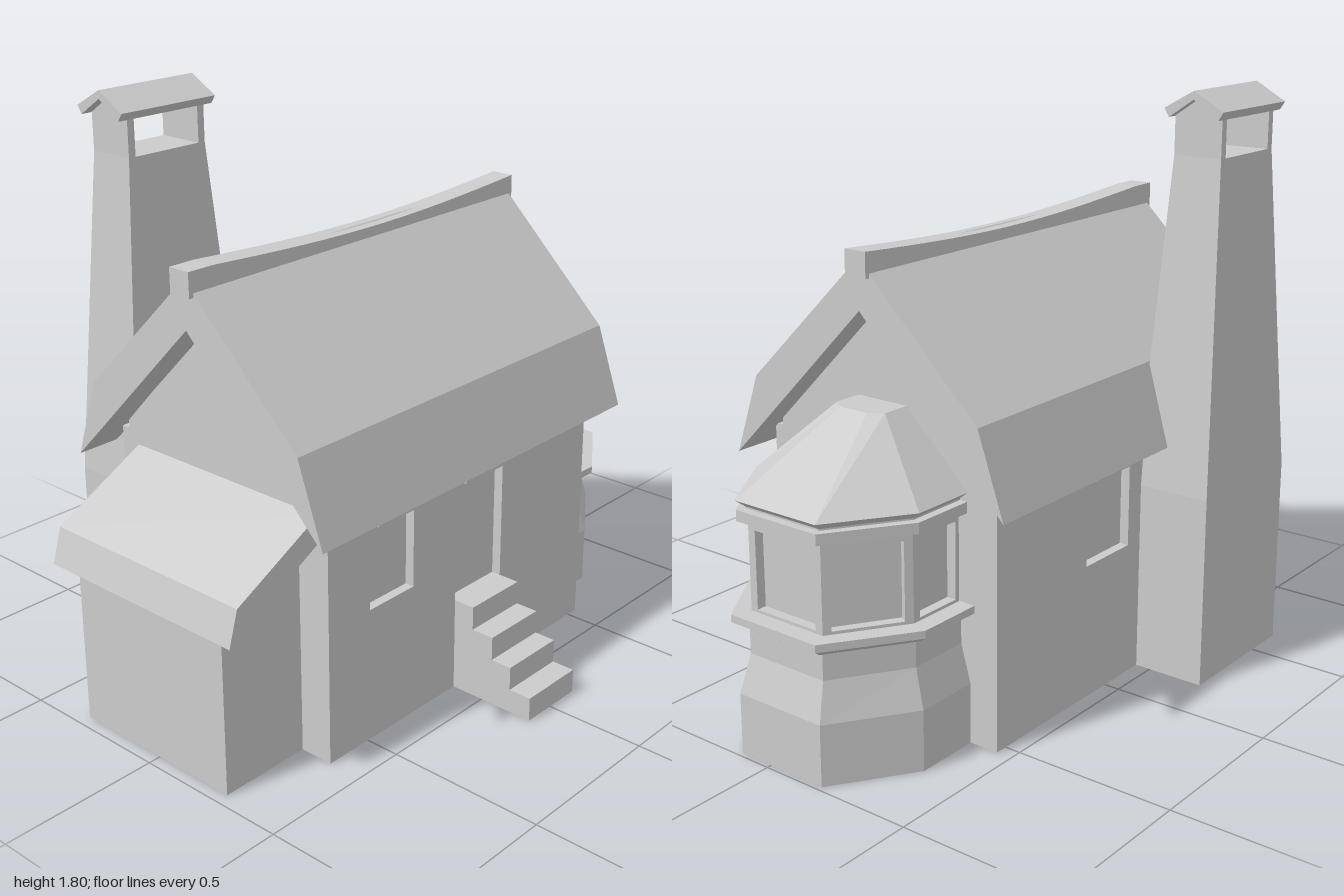
import * as THREE from 'three';

const mat = new THREE.MeshStandardMaterial({ color: 0xcccccc, flatShading: true });

const poly = (pts) => new THREE.Shape(pts.map(([a, b]) => new THREE.Vector2(a, b)));
const rect = (x0, y0, x1, y1) => [[x0, y0], [x1, y0], [x1, y1], [x0, y1]];
const extrude = (shape, depth) => new THREE.ExtrudeGeometry(shape, { depth, bevelEnabled: false });

// profile in (x, y), swept from z0 to z1
const alongZ = (pts, z0, z1) => extrude(poly(pts), z1 - z0).translate(0, 0, z0);
// shape in (z, y), swept from x0 to x1
const alongX = (shape, x0, x1) => extrude(shape, x1 - x0).rotateY(-Math.PI / 2).translate(x1, 0, 0);

const box = (x0, x1, y0, y1, z0, z1) =>
  new THREE.BoxGeometry(x1 - x0, y1 - y0, z1 - z0).translate((x0 + x1) / 2, (y0 + y1) / 2, (z0 + z1) / 2);

// closed skin over rings of [x, y, z], each ring counter-clockwise from above
function loft(rings) {
  const pos = [];
  const tri = (a, b, c) => pos.push(...a, ...b, ...c);
  const n = rings[0].length;
  for (let r = 0; r < rings.length - 1; r++) {
    for (let i = 0; i < n; i++) {
      const j = (i + 1) % n, a = rings[r], b = rings[r + 1];
      tri(a[i], a[j], b[j]);
      tri(a[i], b[j], b[i]);
    }
  }
  const low = rings[0], top = rings[rings.length - 1];
  for (let i = 1; i < n - 1; i++) {
    tri(low[0], low[i + 1], low[i]);
    tri(top[0], top[i], top[i + 1]);
  }
  const g = new THREE.BufferGeometry();
  g.setAttribute('position', new THREE.Float32BufferAttribute(pos, 3));
  g.computeVertexNormals();
  return g;
}

// shift vertices by a rule
function warp(g, fn) {
  const p = g.attributes.position, v = new THREE.Vector3();
  for (let i = 0; i < p.count; i++) {
    fn(v.fromBufferAttribute(p, i));
    p.setXYZ(i, v.x, v.y, v.z);
  }
  g.computeVertexNormals();
  return g;
}

// bay outline at height y
const bayRing = (y, hw, backHw, zBack, zCorner) =>
  [[hw, -0.53], [hw, zCorner], [backHw, zBack], [-backHw, zBack], [-hw, zCorner], [-hw, -0.53]]
    .map(([x, z]) => [x - 0.04, y, z]);
// the same outline pulled in by d from its widest size
const bayInset = (y, d) => bayRing(y, 0.33 - d, 0.16 - 0.45 * d, -1 + d, -0.75 + 0.3 * d);

export function createModel() {
  const model = new THREE.Group();
  const add = (name, geometry, parent = model) => {
    const m = new THREE.Mesh(geometry, mat);
    m.name = name;
    parent.add(m);
    return m;
  };

  // house core with gables
  add('houseCore', alongZ([[-0.42, 0], [0.36, 0], [0.36, 0.84], [-0.03, 1.25], [-0.42, 0.84]], -0.54, 0.66));

  // side walls with recessed openings [z0, y0, z1, y1] and lintels
  const sideWall = (name, x0, x1, lintelX0, lintelX1, openings) => {
    const wall = poly(rect(-0.54, 0, 0.66, 0.815));
    for (const [z0, y0, z1, y1] of openings) {
      wall.holes.push(poly(rect(z0, y0, z1, y1)));
      add('lintel', box(lintelX0, lintelX1, 0.697, 0.727, z0, z1));
    }
    add(name, alongX(wall, x0, x1));
  };
  sideWall('leftWall', 0.36, 0.39, 0.36, 0.425, [[-0.115, 0.3, 0.105, 0.727], [0.3, 0.425, 0.49, 0.727]]);
  sideWall('rightWall', -0.45, -0.42, -0.48, -0.42, [[-0.11, 0.425, 0.11, 0.727]]);

  // main roof, very slightly skewed
  const skew = (v) => { v.x += 0.01 * v.z; };
  add('mainRoof', warp(alongZ([
    [0.465, 0.735], [0.378, 0.985], [-0.035, 1.388], [-0.448, 0.985], [-0.535, 0.735], [-0.035, 1.24],
  ], -0.63, 0.765), skew));

  // sagging ridge beam
  const ridge = new THREE.BoxGeometry(0.075, 0.075, 1.425, 1, 1, 16).translate(-0.037, 1.378, 0.068);
  add('ridgeBeam', warp(ridge, (v) => {
    skew(v);
    v.y -= 0.031 * Math.max(0, Math.cos((Math.PI / 2) * v.z / 0.7));
  }));

  // front extension and its lean-to roof
  add('frontExtension', alongX(poly([[0.6, 0], [0.96, 0], [0.96, 0.535], [0.6, 0.73]]), -0.315, 0.28));
  add('extensionRoof', alongX(poly([
    [0.62, 0.71], [1.0, 0.505], [0.968, 0.613], [0.66, 0.772], [0.62, 0.772],
  ]), -0.38, 0.355));

  // entrance steps
  const stairs = poly([[0.36, 0], [0.68, 0], [0.68, 0.075], [0.605, 0.075], [0.605, 0.15], [0.535, 0.15],
    [0.535, 0.225], [0.46, 0.225], [0.46, 0.3], [0.36, 0.3]]);
  add('entranceSteps', extrude(stairs, 0.22).translate(0, 0, -0.115));

  // chimney: tapered stack, two cheeks and a small gabled cap
  const chimney = new THREE.Group();
  chimney.name = 'chimney';
  model.add(chimney);
  const chimneyRing = (y, x0, x1, z0, z1) => [[x1, y, z1], [x1, y, z0], [x0, y, z0], [x0, y, z1]];
  add('chimneyStack', loft([
    chimneyRing(0, -0.682, -0.43, 0.175, 0.635),
    chimneyRing(0.6, -0.682, -0.43, 0.175, 0.635),
    chimneyRing(1.605, -0.637, -0.48, 0.26, 0.555),
  ]), chimney);
  for (const z of [0.26, 0.53]) {
    add('chimneyCheek', alongZ([[-0.637, 1.6], [-0.48, 1.6], [-0.48, 1.735], [-0.558, 1.78], [-0.637, 1.735]],
      z, z + 0.025), chimney);
  }
  add('chimneyCap', alongZ([
    [-0.64, 1.717], [-0.558, 1.772], [-0.477, 1.717], [-0.46, 1.742], [-0.558, 1.797], [-0.656, 1.742],
  ], 0.23, 0.59), chimney);

  // bay at the back
  const bay = new THREE.Group();
  bay.name = 'bay';
  model.add(bay);
  const stack = (profile) => loft(profile.map(([y, d]) => bayInset(y, d)));
  add('bayBase', stack([[0, 0.015], [0.185, 0.015], [0.3, 0.048], [0.4, 0.048]]), bay);
  add('baySill', stack([[0.385, 0.03], [0.405, 0], [0.428, 0]]), bay);
  add('bayPanes', stack([[0.42, 0.085], [0.71, 0.085]]), bay);
  add('bayFrieze', stack([[0.697, 0.025], [0.73, 0.025]]), bay);
  add('bayNeck', stack([[0.72, 0.05], [0.745, 0.05]]), bay);
  add('bayRoof', loft([
    bayInset(0.735, 0.05),
    bayInset(0.757, 0.023),
    bayRing(0.965, 0.09, 0.05, -0.66, -0.63),
  ]), bay);

  // window frame on each face of the bay
  const corners = bayInset(0.425, 0.055).map((p) => new THREE.Vector3(...p));
  const up = new THREE.Vector3(0, 1, 0);
  for (let i = 0; i < 5; i++) {
    const u = corners[i + 1].clone().sub(corners[i]);
    const len = u.length();
    u.normalize();
    const n = u.clone().cross(up);
    const frame = poly(rect(0, 0, len, 0.28));
    frame.holes.push(poly(rect(0.025, 0.012, len - 0.025, 0.245)));
    const g = extrude(frame, 0.03).translate(0, 0, -0.03);
    g.applyMatrix4(new THREE.Matrix4().makeBasis(u, up, n).setPosition(corners[i]));
    add('bayWindowFrame', g, bay);
  }

  return model;
}
